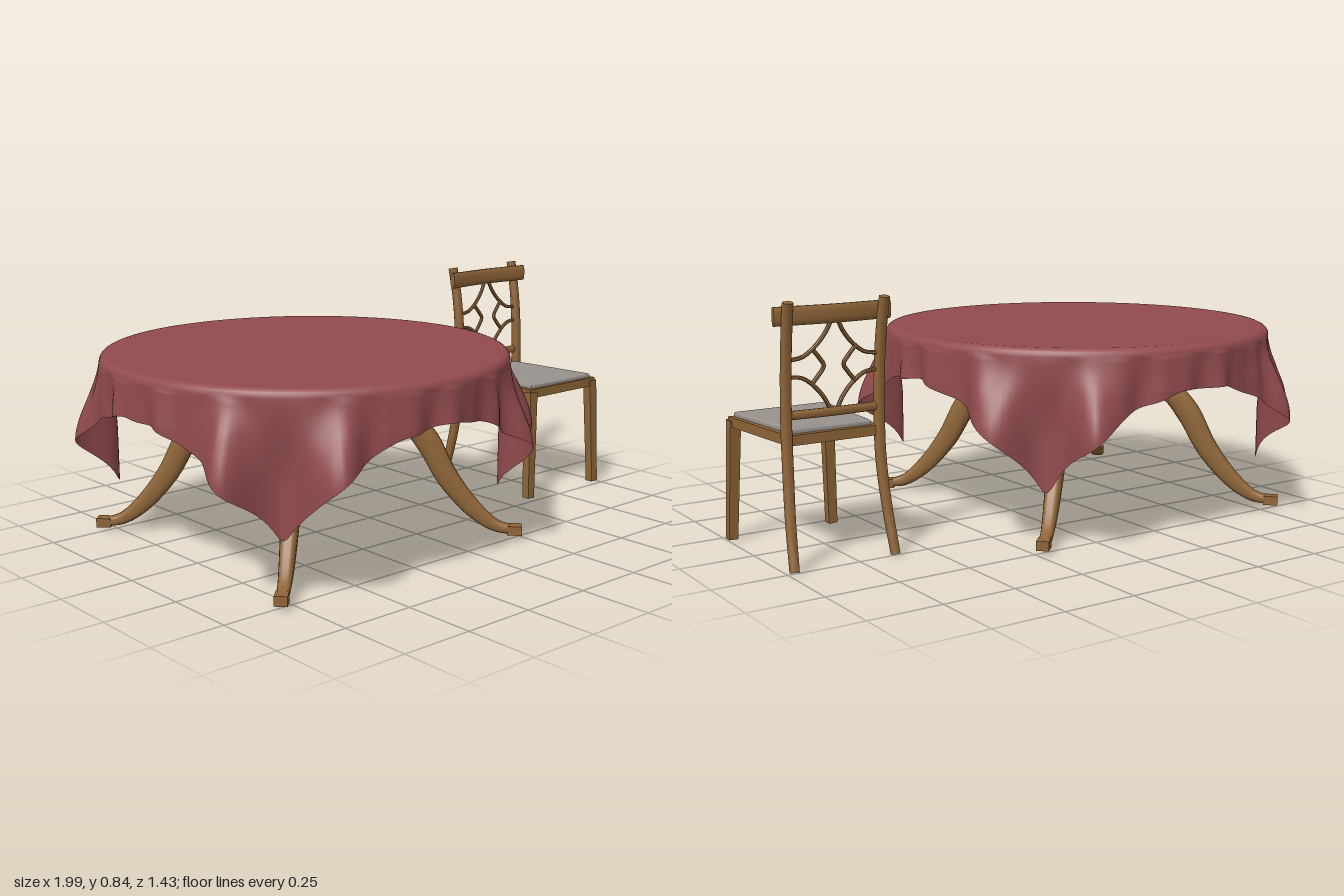
import * as THREE from 'three';
import { toCreasedNormals } from 'three/addons/utils/BufferGeometryUtils.js';

const material = (name, color, side = THREE.FrontSide) => {
  const m = new THREE.MeshStandardMaterial({ color, side });
  m.name = name;
  return m;
};

function add(parent, name, geometry, mat) {
  const mesh = new THREE.Mesh(geometry, mat);
  mesh.name = name;
  parent.add(mesh);
  return mesh;
}

function buildGeometry(positions, index) {
  const g = new THREE.BufferGeometry();
  g.setAttribute('position', new THREE.Float32BufferAttribute(positions, 3));
  g.setIndex(index);
  g.computeVertexNormals();
  return g;
}

// Sweeps a section along points [x, y, z, width, thickness]; width lies along `side`
function sweep(points, side, sides = 4, steps = 16) {
  const curve = new THREE.CatmullRomCurve3(points.map(p => new THREE.Vector3(p[0], p[1], p[2])));
  const pos = [], idx = [];
  const round = v => Math.sign(v) * Math.pow(Math.abs(v), 0.7);
  for (let i = 0; i <= steps; i++) {
    const t = i / steps, f = t * (points.length - 1);
    const k = Math.min(Math.floor(f), points.length - 2);
    const w = THREE.MathUtils.lerp(points[k][3], points[k + 1][3], f - k) / 2;
    const h = THREE.MathUtils.lerp(points[k][4], points[k + 1][4], f - k) / 2;
    const c = curve.getPoint(t), T = curve.getTangent(t);
    const S = side.clone().addScaledVector(T, -side.dot(T)).normalize();
    const N = new THREE.Vector3().crossVectors(T, S);
    for (let j = 0; j < sides; j++) {
      const a = ((j + 0.5) / sides) * Math.PI * 2;
      const u = sides === 4 ? Math.sign(Math.cos(a)) : round(Math.cos(a));
      const v = sides === 4 ? Math.sign(Math.sin(a)) : round(Math.sin(a));
      const p = c.clone().addScaledVector(S, u * w).addScaledVector(N, v * h);
      pos.push(p.x, p.y, p.z);
    }
  }
  for (let i = 0; i < steps; i++) for (let j = 0; j < sides; j++) {
    const a = i * sides + j, b = i * sides + (j + 1) % sides;
    idx.push(a, b, a + sides, b, b + sides, a + sides);
  }
  for (let j = 1; j < sides - 1; j++) {
    const e = steps * sides;
    idx.push(0, j + 1, j, e, e + j, e + j + 1);
  }
  return toCreasedNormals(buildGeometry(pos, idx), 0.75);
}

// Flat slab drawn in x/z with its top at the given height
function slab(shape, top, depth, bevel = 0) {
  const g = new THREE.ExtrudeGeometry(shape, {
    depth: depth - 2 * bevel, bevelEnabled: bevel > 0, bevelSize: bevel,
    bevelThickness: bevel, bevelOffset: -bevel, bevelSegments: 3, curveSegments: 16,
  });
  return g.rotateX(Math.PI / 2).translate(0, top - bevel, 0);
}

// Square cloth over a round top: deepest and most folded at the diagonals
function clothGeometry() {
  const R = 0.69, half = 0.833, segs = 288, topRows = 4, edgeRows = 5, dropRows = 22;
  const pos = [], idx = [], shoulder = 0.028;
  const rows = topRows + edgeRows + dropRows;
  const bell = (d, w) => Math.exp(-(d * d) / (w * w));
  for (let i = 0; i <= rows; i++) for (let j = 0; j < segs; j++) {
    const th = (j / segs) * Math.PI * 2;
    const quarter = Math.round(th / (Math.PI / 2)) * Math.PI / 2;
    const phi = Math.abs(th - quarter), d = Math.PI / 4 - phi;
    let r, y = 0.66;
    if (i <= topRows) r = (R - shoulder) * i / topRows;
    else if (i <= topRows + edgeRows) {
      const a = ((i - topRows) / edgeRows) * Math.PI / 2;
      r = R - shoulder + shoulder * Math.sin(a);
      y -= shoulder * (1 - Math.cos(a));
    } else {
      const k = (i - topRows - edgeRows) / dropRows;
      const tip = half / Math.max(Math.cos(phi), 0.715) - R;
      const drop = shoulder + (tip - shoulder) * k + 0.004 * k * Math.sin(23 * th);
      const s = THREE.MathUtils.smoothstep(drop, 0.02, 0.3);
      const ripple = 0.008 + 0.012 * Math.sin(22 * th + 0.8 * Math.sin(3 * th)) + 0.006 * Math.sin(37 * th);
      r = R + ripple * Math.min(1, drop / 0.14) * (1 - 0.6 * bell(d, 0.3))
        + s * (0.095 * bell(d - 0.22, 0.11) - 0.035 * bell(d, 0.13));
      y -= drop;
    }
    pos.push(r * Math.cos(th), y, r * Math.sin(th));
  }
  for (let i = 0; i < rows; i++) for (let j = 0; j < segs; j++) {
    const a = i * segs + j, b = i * segs + (j + 1) % segs;
    if (i > 0) idx.push(a, b, a + segs);
    idx.push(b, b + segs, a + segs);
  }
  return buildGeometry(pos, idx);
}

function createTable(wood, cloth) {
  const table = new THREE.Group();
  table.name = 'table';
  add(table, 'tablecloth', clothGeometry(), cloth);
  add(table, 'tableTop', new THREE.CylinderGeometry(0.675, 0.675, 0.04, 96).translate(0, 0.625, 0), wood);

  // Concave-sided platform joining the legs
  const shape = new THREE.Shape();
  for (let i = 0; i < 4; i++) {
    const at = (x, y) => new THREE.Vector2(x, y).rotateAround(new THREE.Vector2(), i * Math.PI / 2);
    const a = at(0.27, -0.22), m = at(0.175, 0), b = at(0.27, 0.22), c = at(0.22, 0.27);
    if (i === 0) shape.moveTo(a.x, a.y);
    shape.quadraticCurveTo(m.x, m.y, b.x, b.y);
    shape.lineTo(c.x, c.y);
  }
  add(table, 'platform', toCreasedNormals(slab(shape, 0.455, 0.055, 0.006), 0.6), wood);

  // Splayed legs, feet and posts on the diagonals
  const across = new THREE.Vector3(0, 0, 1);
  const legGeometry = sweep([
    [0.27, 0.428, 0, 0.075, 0.05], [0.345, 0.415, 0, 0.075, 0.075], [0.41, 0.345, 0, 0.07, 0.085],
    [0.485, 0.21, 0, 0.06, 0.075], [0.575, 0.1, 0, 0.05, 0.06], [0.65, 0.043, 0, 0.042, 0.042],
    [0.71, 0.028, 0, 0.04, 0.03],
  ], across, 16, 32);
  const footGeometry = new THREE.BoxGeometry(0.05, 0.032, 0.042).translate(0.717, 0.028, 0);
  const postGeometry = new THREE.CylinderGeometry(0.025, 0.025, 0.17, 20).translate(0.33, 0.53, 0);
  for (let i = 0; i < 4; i++) {
    const leg = new THREE.Group();
    leg.name = 'tableLeg';
    leg.rotation.y = Math.PI / 4 + i * Math.PI / 2;
    add(leg, 'curvedLeg', legGeometry, wood);
    add(leg, 'foot', footGeometry, wood);
    add(leg, 'post', postGeometry, wood);
    table.add(leg);
  }
  table.position.x = -0.287;
  return table;
}

function createChair(wood, fabric) {
  const chair = new THREE.Group();
  chair.name = 'chair';
  const X = new THREE.Vector3(1, 0, 0), Y = new THREE.Vector3(0, 1, 0), Z = new THREE.Vector3(0, 0, 1);
  const trapezoid = (front, back, zf, zb) => new THREE.Shape([
    new THREE.Vector2(-back, zb), new THREE.Vector2(back, zb),
    new THREE.Vector2(front, zf), new THREE.Vector2(-front, zf),
  ]);
  add(chair, 'seatFrame', slab(trapezoid(0.185, 0.158, 0.212, -0.19), 0.416, 0.033), wood);
  add(chair, 'seatCushion', slab(trapezoid(0.168, 0.14, 0.2, -0.17), 0.432, 0.025, 0.008), fabric);

  // Legs, and back posts that run from floor to top
  for (const s of [-1, 1]) {
    add(chair, 'frontLeg', sweep([[s * 0.185, 0, 0.214, 0.032, 0.03], [s * 0.17, 0.405, 0.2, 0.038, 0.034]], X, 4, 1), wood);
    add(chair, 'backPost', sweep([
      [s * 0.178, 0, -0.248, 0.03, 0.03], [s * 0.17, 0.15, -0.212, 0.032, 0.032],
      [s * 0.163, 0.3, -0.19, 0.034, 0.034], [s * 0.162, 0.45, -0.184, 0.034, 0.034],
      [s * 0.162, 0.6, -0.19, 0.034, 0.032], [s * 0.163, 0.72, -0.204, 0.034, 0.03],
      [s * 0.165, 0.83, -0.226, 0.034, 0.03],
    ], X, 12, 28), wood);
  }

  // Back rails
  add(chair, 'crestRail', sweep([[-0.2, 0.786, -0.193, 0.06, 0.02], [0, 0.786, -0.208, 0.06, 0.02], [0.2, 0.786, -0.193, 0.06, 0.02]], Y, 12, 16), wood);
  add(chair, 'lowerRail', sweep([[-0.16, 0.478, -0.185, 0.028, 0.02], [0, 0.478, -0.193, 0.028, 0.02], [0.16, 0.478, -0.185, 0.028, 0.02]], Y, 12, 12), wood);

  // Lattice: four inward arcs around a small central diamond
  const slat = 0.013;
  const depth = y => -0.187 - Math.max(0, y - 0.55) * 0.08;
  const arc = (name, pts) => add(chair, name, sweep(
    pts.map(([x, y]) => [x, y, depth(y), slat, slat]), Z, 8, 12), wood);
  for (const s of [-1, 1]) {
    for (const v of [-1, 1]) {
      const at = (x, y) => [s * x, 0.624 + v * y];
      arc('latticeArc', [at(0.15, 0.026), at(0.105, 0.034), at(0.06, 0.068), at(0.03, 0.105), at(0.012, 0.14)]);
    }
    arc('latticeDiamond', [[s * 0.075, 0.68], [s * 0.05, 0.65], [s * 0.034, 0.624], [s * 0.05, 0.598], [s * 0.075, 0.568]]);
  }
  chair.position.x = 0.798;
  return chair;
}

export function createModel() {
  const wood = material('wood', 0x8f6538);
  const cloth = material('red cloth', 0x924b4d, THREE.DoubleSide);
  const fabric = material('grey fabric', 0x98938d);
  const model = new THREE.Group();
  model.name = 'diningSet';
  model.add(createTable(wood, cloth), createChair(wood, fabric));
  return model;
}
